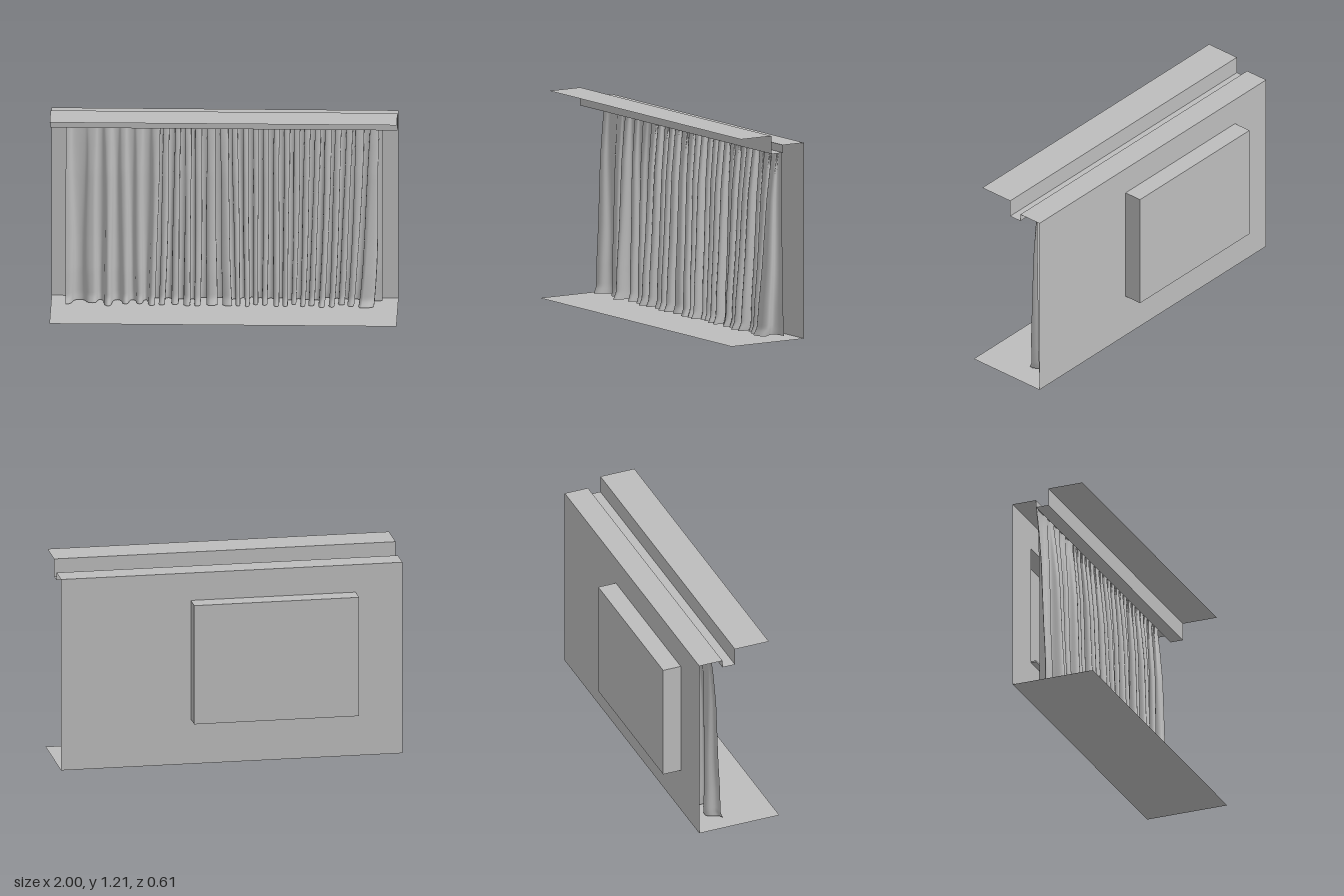
import * as THREE from 'three';

const plaster = new THREE.MeshStandardMaterial({ color: 0xbcbcbc, side: THREE.DoubleSide });
plaster.name = 'plain grey';

const WALL_Z = -0.195, FRONT_Z = 0.305, WALL_TOP = 1.145;

// Small seeded random number generator
function seeded(seed) {
  return () => {
    seed = (seed * 16807) % 2147483647;
    return seed / 2147483647;
  };
}

function add(parent, name, geometry) {
  const mesh = new THREE.Mesh(geometry, plaster);
  mesh.name = name;
  parent.add(mesh);
  return mesh;
}

// Flat sheet across x, running between two [z, y] points
function sheet(parent, name, x0, x1, [z0, y0], [z1, y1]) {
  const geometry = new THREE.PlaneGeometry(x1 - x0, Math.hypot(z1 - z0, y1 - y0));
  geometry.rotateX(Math.atan2(z1 - z0, y1 - y0));
  geometry.translate((x0 + x1) / 2, (y0 + y1) / 2, (z0 + z1) / 2);
  return add(parent, name, geometry);
}

// Front and back limits of the cloth at each height: [y, front z, back z]
const envelope = [
  [0.01, 0.02, -0.19], [0.05, 0.0, -0.178], [0.2, -0.006, -0.162], [0.4, -0.02, -0.153],
  [0.8, -0.04, -0.133], [1.0, -0.062, -0.12], [1.1, -0.077, -0.113], [1.145, -0.08, -0.104],
];
function limits(y) {
  let i = 0;
  while (i < envelope.length - 2 && y > envelope[i + 1][0]) i++;
  const [a, b] = [envelope[i], envelope[i + 1]];
  const k = (y - a[0]) / (b[0] - a[0]);
  return [THREE.MathUtils.lerp(a[1], b[1], k), THREE.MathUtils.lerp(a[2], b[2], k)];
}

// x of every fold crest at the hem and at the rail
const hem = [-0.915, -0.76, -0.67, -0.57, -0.49, -0.42, -0.36, -0.29, -0.21, -0.16, -0.08, 0.03, 0.08, 0.13,
  0.18, 0.23, 0.3, 0.35, 0.4, 0.45, 0.5, 0.56, 0.62, 0.67, 0.73, 0.79, 1.03];
const rail = [-0.915, -0.76, -0.67, -0.58, -0.5, -0.39, -0.33, -0.27, -0.21, -0.15, -0.08, 0, 0.06, 0.12,
  0.18, 0.24, 0.3, 0.36, 0.42, 0.48, 0.54, 0.6, 0.66, 0.72, 0.78, 0.87, 0.95];

function curtainGeometry() {
  const random = seeded(7);
  const crest = hem.map((_, i) => (i === 0 ? 0.85 : 0.72 + 0.28 * random()));
  const valley = hem.map((_, i) => (i < 5 ? 0.45 : 0.1 + 0.25 * random()));
  const lean = hem.map((_, i) => (i < 5 ? 0.05 : 0.1 + 0.12 * random()));
  valley[hem.length - 2] = 0.35;

  const folds = hem.length - 1.5, cols = Math.round(folds * 16), rows = 48;
  const geometry = new THREE.PlaneGeometry(1, 1, cols, rows);
  const pos = geometry.attributes.position;
  for (let n = 0; n < pos.count; n++) {
    const col = n % (cols + 1), row = Math.floor(n / (cols + 1));
    const t = (col / cols) * folds;
    const i = Math.min(Math.floor(t), hem.length - 2), f = t - i;
    const v = Math.pow(1 - row / rows, 1.3); // closer rows near the hem
    const y = 0.01 + v * (WALL_TOP - 0.01);
    const s = Math.pow(v, 0.7);
    const x0 = THREE.MathUtils.lerp(hem[i], rail[i], s);
    const x1 = THREE.MathUtils.lerp(hem[i + 1], rail[i + 1], s);
    // crest to valley to crest, with rounded overhanging pleats
    const peak = f < 0.5 ? crest[i] : crest[i + 1];
    const depth = THREE.MathUtils.lerp(valley[i], peak, 0.5 + 0.5 * Math.cos(2 * Math.PI * f));
    const sway = lean[i] * Math.sin(4 * Math.PI * f) + 0.04 * Math.sin(5 * y + 2 * i) * Math.sin(2 * Math.PI * f);
    const [front, back] = limits(y);
    pos.setXYZ(n, x0 + (x1 - x0) * (f + sway), y, back + (front - back) * depth);
  }
  geometry.computeVertexNormals();
  return geometry;
}

export function createModel() {
  const model = new THREE.Group();
  model.name = 'curtainedWindowWall';

  // Floor
  sheet(model, 'floor', -1, 1, [WALL_Z, 0], [FRONT_Z, 0]);

  // Wall with the window opening
  const [wx0, wx1, wy0, wy1] = [-0.725, 0.24, 0.268, 0.98];
  const outline = new THREE.Shape([[-1, 0], [1, 0], [1, WALL_TOP], [-1, WALL_TOP]].map(p => new THREE.Vector2(...p)));
  outline.holes.push(new THREE.Path([[wx0, wy0], [wx0, wy1], [wx1, wy1], [wx1, wy0]].map(p => new THREE.Vector2(...p))));
  add(model, 'wall', new THREE.ShapeGeometry(outline)).position.z = WALL_Z;

  // Window recess behind the wall
  const recess = new THREE.Group();
  recess.name = 'windowRecess';
  model.add(recess);
  const backZ = -0.305, depth = WALL_Z - backZ;
  sheet(recess, 'windowPane', wx0, wx1, [backZ, wy0], [backZ, wy1]);
  sheet(recess, 'recessBottom', wx0, wx1, [backZ, wy0], [WALL_Z, wy0]);
  sheet(recess, 'recessTop', wx0, wx1, [backZ, wy1], [WALL_Z, wy1]);
  for (const x of [wx0, wx1]) {
    const side = add(recess, 'recessSide', new THREE.PlaneGeometry(depth, wy1 - wy0));
    side.rotation.y = Math.PI / 2;
    side.position.set(x, (wy0 + wy1) / 2, backZ + depth / 2);
  }

  // Window sill
  const sill = add(model, 'windowSill', new THREE.BoxGeometry(wx1 - wx0, 0.01, 0.03));
  sill.position.set((wx0 + wx1) / 2, 0.26, WALL_Z + 0.015);

  // Stepped ceiling with the curtain pelmet
  const ceiling = [[WALL_Z, WALL_TOP], [-0.05, WALL_TOP], [-0.05, 1.1], [0.028, 1.1], [0.028, 1.205], [0.24, 1.205]];
  const names = ['curtainRecess', 'pelmetBack', 'pelmetUnderside', 'pelmetFront', 'ceiling'];
  names.forEach((name, i) => sheet(model, name, -1, 1, ceiling[i], ceiling[i + 1]));

  // Pleated curtain
  add(model, 'curtain', curtainGeometry());

  return model;
}
